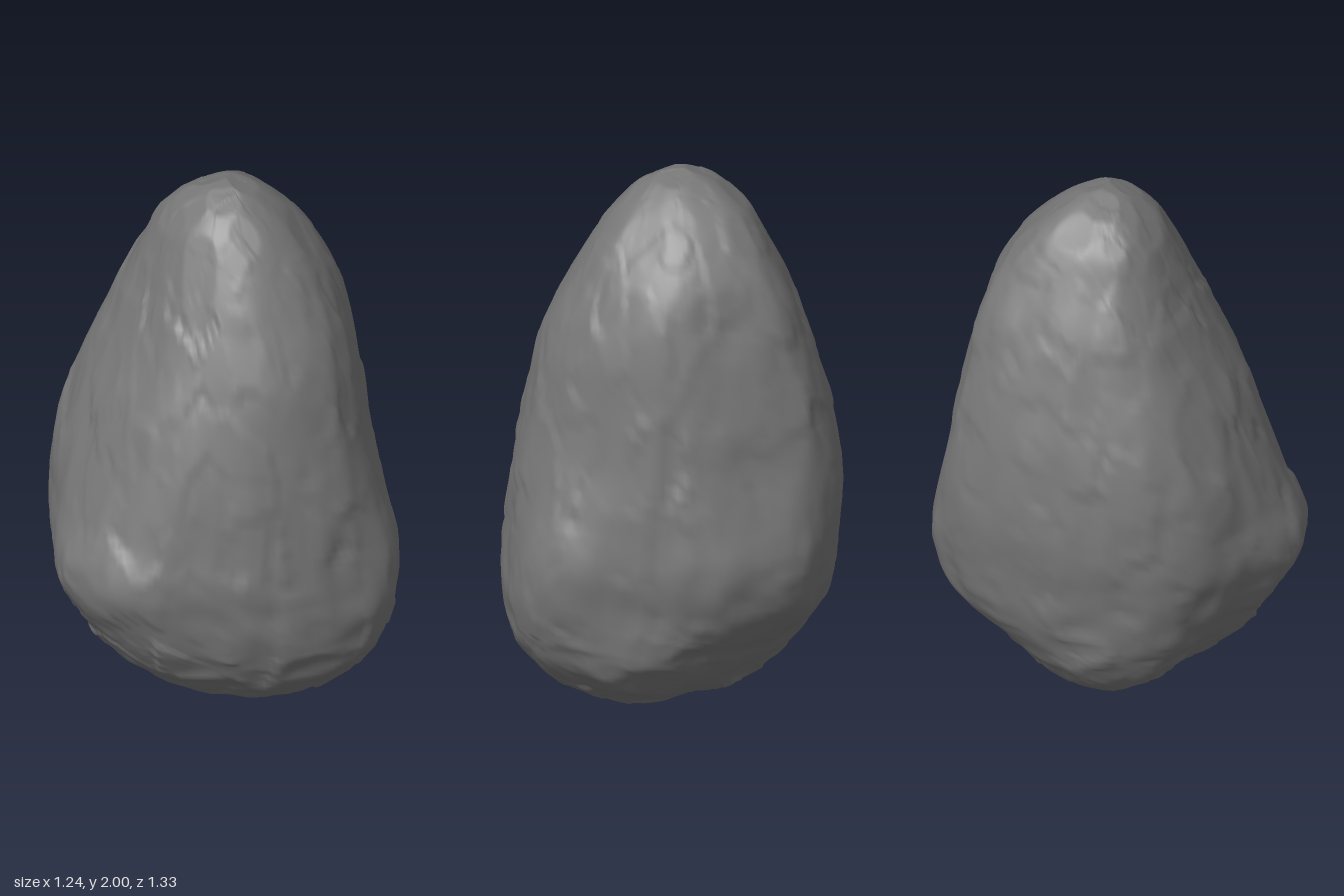
import * as THREE from 'three';
import { mergeVertices } from 'three/addons/utils/BufferGeometryUtils.js';

const SEGMENTS = 160, ROWS = 130, AXIS_Z = -0.07;

// Height, then the extents of the boulder there: right, left, front, back
const LEVELS = [
  [-0.005, 0.08, 0.08, -0.07, -0.07], [0.015, -0.15, 0.28, 0.08, -0.25],
  [0.05, -0.32, 0.35, 0.22, -0.31], [0.1, -0.415, 0.44, 0.3, -0.41],
  [0.2, -0.515, 0.545, 0.42, -0.515], [0.3, -0.56, 0.59, 0.51, -0.565],
  [0.4, -0.585, 0.61, 0.58, -0.615], [0.6, -0.605, 0.61, 0.668, -0.66],
  [0.8, -0.62, 0.585, 0.59, -0.625], [1, -0.6, 0.55, 0.515, -0.58],
  [1.2, -0.56, 0.51, 0.44, -0.55], [1.4, -0.5, 0.465, 0.34, -0.515],
  [1.6, -0.42, 0.37, 0.255, -0.47], [1.75, -0.345, 0.28, 0.195, -0.395],
  [1.86, -0.285, 0.2, 0.145, -0.31], [1.94, -0.195, 0.115, 0.07, -0.215],
  [1.985, -0.11, 0.04, 0, -0.14], [2.005, -0.03, -0.03, -0.07, -0.07],
];

// Outlines seen from above, scaled to the extents
const outline = (pts) => new THREE.CatmullRomCurve3(pts.map(([u, v]) => new THREE.Vector3(u, 0, v)), true);
// Undercut at the back right
const FOOT = outline([
  [0, 1], [0.25, 0.96], [0.49, 0.84], [0.66, 0.66], [0.84, 0.44], [0.95, 0.19], [1, -0.2],
  [0.95, -0.45], [0.8, -0.68], [0.5, -0.95], [0.2, -1], [-0.15, -0.9], [-0.45, -0.72],
  [-0.72, -0.46], [-0.95, -0.05], [-1, 0.25], [-0.9, 0.5], [-0.66, 0.71], [-0.41, 0.82], [-0.16, 0.97],
]);
// Pointed front, with a shoulder at the back left
const LOW = outline([
  [0, 1], [0.25, 0.96], [0.49, 0.82], [0.62, 0.64], [0.82, 0.44], [0.95, 0.19], [1, -0.22],
  [0.95, -0.47], [0.8, -0.66], [0.41, -0.81], [0.08, -0.95], [-0.25, -1], [-0.57, -0.93],
  [-0.82, -0.71], [-1, -0.14], [-0.98, 0.16], [-0.9, 0.47], [-0.66, 0.71], [-0.41, 0.82], [-0.16, 0.97],
]);
// Flat back, cut away at the back left and full at the front right
const HIGH = outline([
  [0, 1], [0.3, 0.95], [0.55, 0.82], [0.72, 0.65], [0.88, 0.44], [0.97, 0.19], [1, -0.15],
  [0.89, -0.45], [0.67, -0.67], [0.42, -0.88], [0.08, -1], [-0.3, -1], [-0.68, -0.93],
  [-0.88, -0.68], [-1, -0.14], [-0.97, 0.23], [-0.9, 0.55], [-0.73, 0.8], [-0.46, 0.94], [-0.2, 0.99],
]);

// Repeatable value noise in -1..1
function hash(x, y, z) {
  const s = Math.sin(x * 127.1 + y * 311.7 + z * 74.7) * 43758.5453;
  return (s - Math.floor(s)) * 2 - 1;
}
function noise(x, y, z) {
  const i = [x, y, z].map(Math.floor);
  const f = [x - i[0], y - i[1], z - i[2]].map((t) => t * t * (3 - 2 * t));
  let sum = 0;
  for (let c = 0; c < 8; c++) {
    const d = [c & 1, (c >> 1) & 1, c >> 2];
    const weight = d.reduce((w, bit, k) => w * (bit ? f[k] : 1 - f[k]), 1);
    sum += weight * hash(i[0] + d[0], i[1] + d[1], i[2] + d[2]);
  }
  return sum;
}

// Flat tilted flakes: each point takes the slope of its nearest scattered seed
function flakes(x, y, z) {
  const [ix, iy, iz] = [x, y, z].map(Math.floor);
  let best = Infinity, height = 0;
  for (let c = 0; c < 27; c++) {
    const a = ix + c % 3 - 1, b = iy + Math.floor(c / 3) % 3 - 1, d = iz + Math.floor(c / 9) - 1;
    const dx = x - a - 0.5 - 0.45 * hash(a, b, d);
    const dy = y - b - 0.5 - 0.45 * hash(b, d, a + 31);
    const dz = z - d - 0.5 - 0.45 * hash(d, a, b + 57);
    const dist = dx * dx + dy * dy + dz * dz;
    if (dist >= best) continue;
    best = dist;
    height = dx * hash(a, d, b + 5) + dy * hash(b, a, d + 9) + dz * hash(d, b, a + 13);
  }
  return height;
}

// Smooth skin through the levels
function makeSkin() {
  const [right, left, front, back] = [1, 2, 3, 4].map(
    (k) => new THREE.SplineCurve(LEVELS.map((l) => new THREE.Vector2(l[0], l[k]))));
  const points = [], index = [];
  for (let i = 0; i <= ROWS; i++) {
    const t = i / ROWS;
    const { x: y, y: r } = right.getPoint(t);
    const l = left.getPoint(t).y, f = front.getPoint(t).y, b = back.getPoint(t).y;
    const toLow = THREE.MathUtils.smoothstep(y, 0.15, 0.52);
    const toHigh = THREE.MathUtils.smoothstep(y, 0.5, 1.05);
    for (let j = 0; j < SEGMENTS; j++) {
      const s = j / SEGMENTS;
      const p = FOOT.getPoint(s).lerp(LOW.getPoint(s), toLow).lerp(HIGH.getPoint(s), toHigh);
      points.push(new THREE.Vector3(
        (l + r) / 2 + p.x * (l - r) / 2, y,
        AXIS_Z + (p.z > 0 ? p.z * (f - AXIS_Z) : p.z * (AXIS_Z - b))));
      if (i === ROWS) continue;
      const a = i * SEGMENTS + j, n = i * SEGMENTS + (j + 1) % SEGMENTS;
      if (i > 0) index.push(a, n, a + SEGMENTS);
      if (i < ROWS - 1) index.push(n, n + SEGMENTS, a + SEGMENTS);
    }
  }
  return { points, index };
}

// Shave shallow flat facets off the skin, in directions spread over a sphere
function shaveFacets(points, count) {
  const n = new THREE.Vector3();
  for (let k = 0; k < count; k++) {
    const y = 1 - (2 * k + 1) / count, a = k * 2.39996 + 0.4 * hash(k, 1, 2);
    const r = Math.sqrt(1 - y * y);
    n.set(r * Math.sin(a), y * 0.8, r * Math.cos(a)).normalize();
    const reach = Math.max(...points.map((p) => p.dot(n))) - 0.006 - 0.004 * hash(k, 5, 3);
    for (const p of points) p.addScaledVector(n, -Math.max(0, p.dot(n) - reach));
  }
}

// Tall flakes and ridges on the flanks, chipped ledges near the foot
function weather(points) {
  const axis = new THREE.Vector3(), out = new THREE.Vector3();
  for (const p of points) {
    axis.set(0, THREE.MathUtils.clamp(p.y, 0.55, 1.5), AXIS_Z);
    out.subVectors(p, axis).normalize();
    const { x, y, z } = p;
    const foot = 1 - THREE.MathUtils.smoothstep(y, 0.35, 0.8);
    const calm = 1 - 0.7 * THREE.MathUtils.smoothstep(y, 1.5, 1.9);
    const slabs = 0.009 * flakes(x * 4, y * 2.2 + x, z * 4);
    const slivers = 0.007 * flakes(x * 9 + 3, y * 4.5, z * 9);
    const ridges = 0.007 * (0.3 - Math.abs(noise(x * 8, y * 2.6 + x * 2, z * 8 + 4)));
    const chips = 0.013 * foot * (0.3 - Math.abs(noise(x * 6 + 9, y * 11, z * 6)));
    p.addScaledVector(out, calm * (slabs + slivers + ridges + chips));
  }
}

export function createModel() {
  const { points, index } = makeSkin();
  shaveFacets(points, 90);
  weather(points);

  let geometry = new THREE.BufferGeometry().setFromPoints(points);
  geometry.setIndex(index);
  geometry = mergeVertices(geometry, 1e-5);

  // Rest it on the ground
  geometry.computeBoundingBox();
  geometry.translate(0, -geometry.boundingBox.min.y, 0);
  geometry.computeVertexNormals();

  const boulder = new THREE.Mesh(geometry, new THREE.MeshStandardMaterial({ color: 0x767676 }));
  boulder.name = 'boulder';
  const group = new THREE.Group();
  group.name = 'rock';
  group.add(boulder);
  return group;
}
